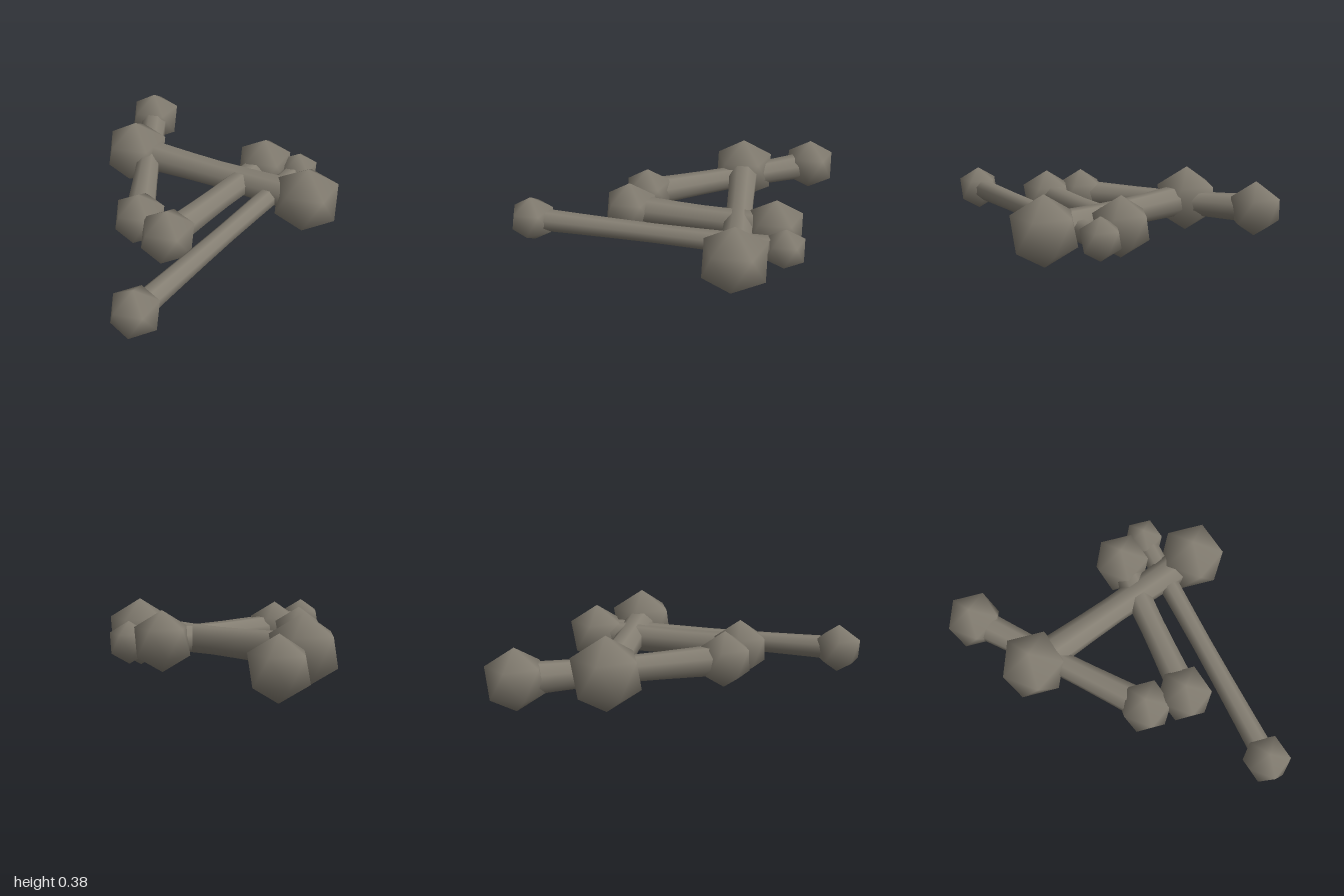
import * as THREE from 'three';
import { mergeVertices } from 'three/addons/utils/BufferGeometryUtils.js';

const material = new THREE.MeshStandardMaterial({ color: 0x857f73 });
material.name = 'greyBone';

// Smooth-shaded icosahedron standing on a corner, an upper ring corner towards +x
function knobGeometry() {
  let geo = new THREE.IcosahedronGeometry(1, 0);
  geo.rotateX(-Math.atan2((1 + Math.sqrt(5)) / 2, 1));
  geo.rotateY(Math.PI / 2);
  geo.deleteAttribute('normal');
  geo.deleteAttribute('uv');
  geo = mergeVertices(geo, 1e-4);
  geo.computeVertexNormals();
  return geo;
}

// Eight-sided shaft along z, narrowing towards its middle
function shaftGeometry(length, endRadius, waistRadius) {
  const points = [];
  for (let i = 0; i <= 6; i++) {
    const t = i / 3 - 1;
    const r = waistRadius + (endRadius - waistRadius) * Math.pow(Math.abs(t), 1.5);
    points.push(new THREE.Vector2(r, t * length / 2));
  }
  return new THREE.LatheGeometry(points, 8, Math.PI / 8).rotateX(Math.PI / 2);
}

// Each bone: two knobs [x, y, z, radius], then shaft end and waist radii
const BONES = [
  { name: 'largeBone', knobs: [[-0.455, 0.193, -0.455, 0.192], [0.455, 0.193, 0.13, 0.192]], end: 0.095, waist: 0.077 },
  { name: 'longThinBone', knobs: [[-0.487, 0.175, 0.884, 0.131], [0.466, 0.178, -0.166, 0.117]], end: 0.064, waist: 0.053 },
  { name: 'shortBone', knobs: [[-0.313, 0.19, 0.367, 0.156], [0.278, 0.196, -0.226, 0.166]], end: 0.082, waist: 0.07 },
  { name: 'sideBone', knobs: [[-0.332, 0.185, -0.866, 0.158], [-0.452, 0.187, 0.195, 0.149]], end: 0.083, waist: 0.067 },
];

export function createModel() {
  const model = new THREE.Group();
  model.name = 'bonePile';
  const knobGeo = knobGeometry();
  for (const { name, knobs, end, waist } of BONES) {
    const bone = new THREE.Group();
    bone.name = name;
    const ends = knobs.map(([x, y, z, r]) => {
      const knob = new THREE.Mesh(knobGeo, material);
      knob.name = 'knob';
      knob.position.set(x, y, z);
      knob.scale.setScalar(r);
      bone.add(knob);
      return knob.position;
    });
    const shaft = new THREE.Mesh(shaftGeometry(ends[0].distanceTo(ends[1]), end, waist), material);
    shaft.name = 'shaft';
    shaft.position.copy(ends[0]).lerp(ends[1], 0.5);
    shaft.lookAt(ends[1]);
    bone.add(shaft);
    model.add(bone);
  }
  return model;
}
